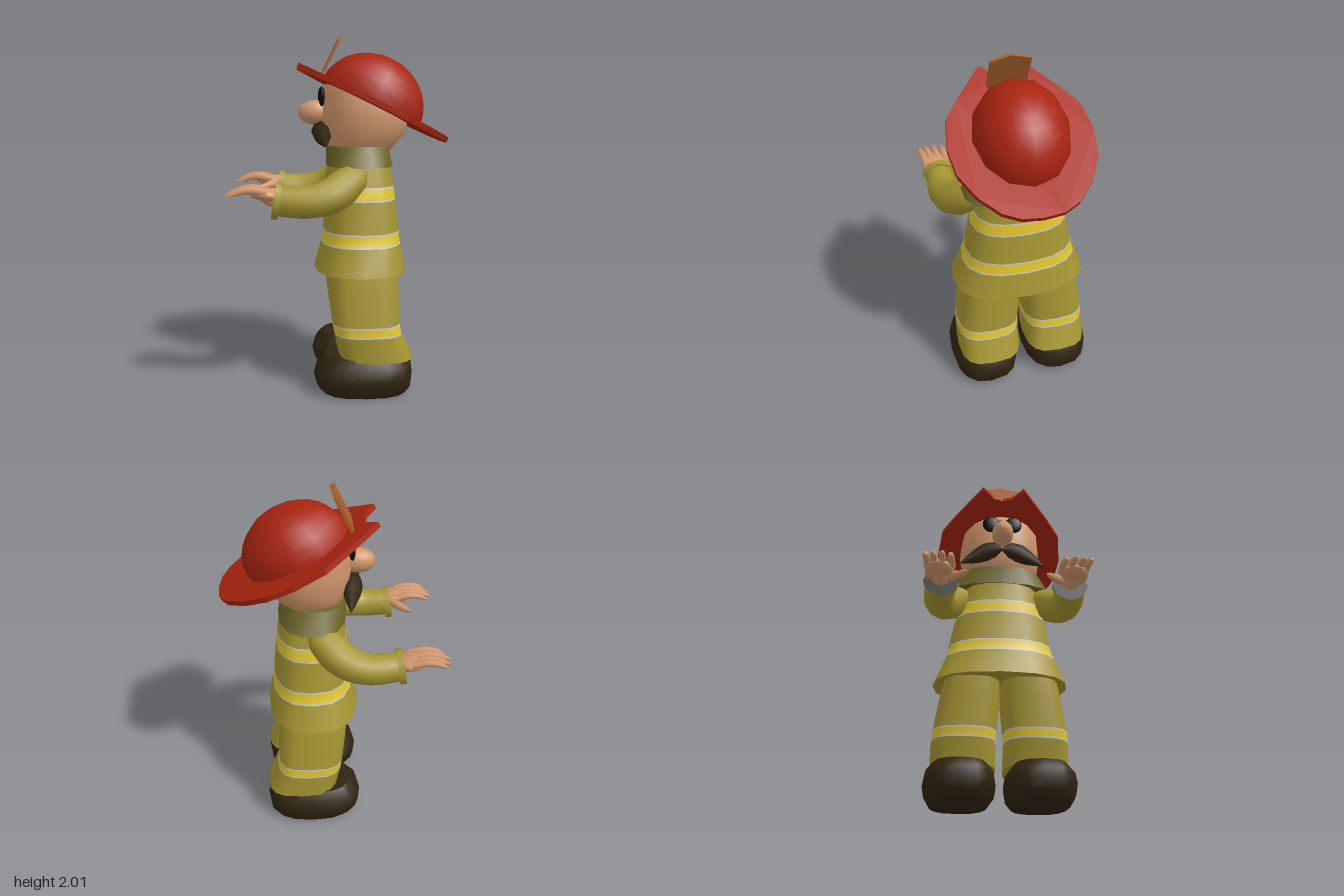
import * as THREE from 'three';

const mat = (name, color) => {
  const m = new THREE.MeshStandardMaterial({ color });
  m.name = name;
  return m;
};

export function createModel() {
  const coat = mat('olive cloth', 0xa59532);
  const collarCloth = mat('dark olive cloth', 0x6e6628);
  const yellow = mat('reflective yellow', 0xe2c42a);
  const silver = mat('reflective silver', 0xc8c8c0);
  const skin = mat('skin', 0xd0966c);
  const red = mat('helmet red', 0xa82410);
  const leather = mat('dark brown', 0x2f2411);
  const bronze = mat('badge bronze', 0xa5602c);
  const black = mat('black', 0x0c0c0c);

  const root = new THREE.Group();
  const add = (name, geo, material, parent = root) => {
    const m = new THREE.Mesh(geo, material);
    m.name = name;
    parent.add(m);
    return m;
  };

  // Stacked rounded-box rings. keys: [y, xMin, xMax, zMin, zMax];
  // stripes: [yLow, yHigh] become yellow bands with silver edges (groups 1 and 2).
  const loft = (keys, { sides = 16, power = 2.5, stripes = [] } = {}) => {
    const edge = 0.011;
    const ys = keys.map(k => k[0]);
    stripes.forEach(([a, b]) => ys.push(a, a + edge, b - edge, b));
    ys.sort((a, b) => a - b);
    const section = y => {
      let i = 0;
      while (i < keys.length - 2 && y > keys[i + 1][0]) i++;
      const t = (y - keys[i][0]) / (keys[i + 1][0] - keys[i][0]);
      return keys[i].map((v, k) => THREE.MathUtils.lerp(v, keys[i + 1][k], t));
    };
    const pos = [], idx = [];
    const ring = y => {
      const [, x0, x1, z0, z1] = section(y);
      for (let i = 0; i < sides; i++) {
        const a = i / sides * Math.PI * 2;
        const f = v => Math.sign(v) * Math.abs(v) ** (2 / power);
        pos.push((x0 + x1) / 2 + (x1 - x0) / 2 * f(Math.cos(a)), y,
          (z0 + z1) / 2 + Math.abs(z1 - z0) / 2 * f(Math.sin(a)));
      }
    };
    ys.forEach(ring);
    const geo = new THREE.BufferGeometry();
    for (let j = 0; j < ys.length - 1; j++) {
      const start = idx.length, mid = (ys[j] + ys[j + 1]) / 2;
      for (let i = 0; i < sides; i++) {
        const a = j * sides + i, b = j * sides + (i + 1) % sides;
        idx.push(a, a + sides, b, b, a + sides, b + sides);
      }
      const s = stripes.find(([a, b]) => mid > a && mid < b);
      const group = !s ? 0 : (mid < s[0] + edge || mid > s[1] - edge) ? 2 : 1;
      geo.addGroup(start, idx.length - start, group);
    }
    // End caps with their own vertices, so the rims stay sharp
    const capStart = idx.length;
    [ys[0], ys[ys.length - 1]].forEach((y, top) => {
      const base = pos.length / 3, [, x0, x1, z0, z1] = section(y);
      ring(y);
      pos.push((x0 + x1) / 2, y, (z0 + z1) / 2);
      for (let i = 0; i < sides; i++) {
        const a = base + i, b = base + (i + 1) % sides;
        idx.push(base + sides, top ? b : a, top ? a : b);
      }
    });
    geo.addGroup(capStart, idx.length - capStart, 0);
    geo.setAttribute('position', new THREE.Float32BufferAttribute(pos, 3));
    geo.setIndex(idx);
    geo.computeVertexNormals();
    return geo;
  };

  // Tube along points whose radius follows a list of radii
  const limb = (points, radii, sides = 8, segs = 12) => {
    const curve = new THREE.CatmullRomCurve3(points.map(p => new THREE.Vector3(...p)));
    const geo = new THREE.TubeGeometry(curve, segs, 1, sides);
    const p = geo.attributes.position, v = new THREE.Vector3();
    for (let i = 0; i < p.count; i++) {
      const t = Math.floor(i / (sides + 1)) / segs;
      const f = t * (radii.length - 1), k = Math.min(Math.floor(f), radii.length - 2);
      const c = curve.getPointAt(t);
      v.fromBufferAttribute(p, i).sub(c).multiplyScalar(THREE.MathUtils.lerp(radii[k], radii[k + 1], f - k)).add(c);
      p.setXYZ(i, v.x, v.y, v.z);
    }
    return geo;
  };
  const ball = (name, material, [x, y, z], [sx, sy, sz], parent = root) => {
    const m = add(name, new THREE.SphereGeometry(1, 14, 10), material, parent);
    m.position.set(x, y, z);
    m.scale.set(sx, sy, sz);
    return m;
  };
  const cloth = [coat, yellow, silver];

  // Coat and collar
  add('coat', loft([
    [0.68, -0.145, 0.385, -0.39, 0.39], [0.87, -0.095, 0.35, -0.315, 0.315],
    [1.1, -0.08, 0.325, -0.27, 0.27], [1.3, -0.07, 0.3, -0.215, 0.215],
  ], { stripes: [[0.83, 0.905], [1.08, 1.16]] }), cloth);
  add('collar', loft([
    [1.272, -0.075, 0.31, -0.31, 0.31], [1.385, -0.075, 0.285, -0.24, 0.24],
  ], { sides: 14 }), collarCloth);

  // Head, nose and dark glasses
  add('head', loft([
    [1.33, -0.03, 0.27, -0.16, 0.16], [1.37, -0.06, 0.31, -0.2, 0.2],
    [1.45, -0.095, 0.38, -0.235, 0.235], [1.55, -0.105, 0.41, -0.25, 0.25],
    [1.68, -0.095, 0.37, -0.24, 0.24], [1.75, -0.07, 0.3, -0.2, 0.2],
  ], { power: 2.2 }), skin);
  ball('nose', skin, [-0.135, 1.57, 0], [0.1, 0.07, 0.065]);
  add('glassesBridge', new THREE.BoxGeometry(0.012, 0.015, 0.06), black).position.set(-0.105, 1.675, 0);

  // Helmet, tilted towards the back
  const helmet = new THREE.Group();
  helmet.name = 'helmet';
  helmet.position.set(0.193, 1.62, 0);
  helmet.rotation.z = -0.456;
  root.add(helmet);
  const half = [[-0.476, 0.122], [-0.27, 0.285], [-0.155, 0.365], [0.02, 0.39], [0.175, 0.37],
    [0.31, 0.3], [0.42, 0.2], [0.465, 0.11], [0.476, 0]];
  const outline = [[-0.4, 0], [-0.415, 0.06], ...half,
    ...half.slice(0, -1).reverse().map(([u, w]) => [u, -w]), [-0.415, -0.06]];
  const brim = new THREE.ExtrudeGeometry(new THREE.Shape(outline.map(p => new THREE.Vector2(...p))),
    { depth: 0.03, bevelEnabled: false });
  brim.rotateX(-Math.PI / 2).translate(0, -0.015, 0);
  add('helmetBrim', brim, red, helmet);
  const dome = add('helmetDome', new THREE.SphereGeometry(1, 12, 7, 0, Math.PI * 2, 0, Math.PI / 2), red, helmet);
  dome.scale.set(0.312, 0.277, 0.258);
  dome.position.x = -0.008;

  // Five-sided plate on the helmet front
  const plate = new THREE.Shape([[-0.11, 0], [0.11, 0], [0.11, 0.215], [0, 0.255], [-0.11, 0.215]]
    .map(p => new THREE.Vector2(...p)));
  const badge = add('helmetBadge', new THREE.ExtrudeGeometry(plate, { depth: 0.016, bevelEnabled: false })
    .rotateY(-Math.PI / 2), bronze);
  badge.position.set(-0.095, 1.77, 0);
  badge.rotation.z = -0.46;

  for (const s of [1, -1]) {
    ball('lens', black, [-0.1, 1.66, s * 0.068], [0.018, 0.055, 0.052]);

    // Drooping moustache half
    add('moustache', limb([[-0.105, 1.485, -s * 0.01], [-0.105, 1.47, s * 0.07], [-0.095, 1.43, s * 0.16],
      [-0.085, 1.385, s * 0.255]], [0, 0.048, 0.055, 0.045, 0.025, 0], 8, 10), leather);

    // Trouser leg and boot
    add('trouserLeg', loft([
      [0.2, -0.01, 0.405, s * 0.02, s * 0.39], [0.34, -0.04, 0.345, s * 0.02, s * 0.387],
      [0.4, -0.05, 0.335, s * 0.017, s * 0.382], [0.59, -0.072, 0.33, 0, s * 0.35],
      [0.72, -0.08, 0.32, 0, s * 0.32],
    ], { power: 3, stripes: [[0.34, 0.4]] }), cloth);
    add('boot', loft([
      [0, -0.1, 0.37, s * 0.06, s * 0.39], [0.04, -0.14, 0.4, s * 0.03, s * 0.415],
      [0.1, -0.155, 0.408, s * 0.02, s * 0.425], [0.16, -0.14, 0.4, s * 0.03, s * 0.415],
      [0.213, -0.09, 0.36, s * 0.07, s * 0.375],
    ], { power: 2.6 }), leather);

    // Sleeve with a faceted cuff
    add('sleeve', limb([[0.12, 1.24, s * 0.17], [0.05, 1.2, s * 0.26], [-0.06, 1.13, s * 0.34],
      [-0.18, 1.1, s * 0.365], [-0.345, 1.105, s * 0.355]], [0.04, 0.085, 0.1, 0.095, 0.088, 0.085, 0.08], 12, 18), coat);
    const cuff = add('cuff', new THREE.CylinderGeometry(0.1, 0.098, 0.035, 8).toNonIndexed(), coat);
    const cuffGeo = new THREE.CylinderGeometry(0.1, 0.098, 0.035, 8);
    cuff.geometry = cuffGeo;
    cuff.material = [coat, black, coat];
    cuff.position.set(-0.35, 1.105, s * 0.353);
    cuff.rotation.z = 1.41;

    // Hand: wrist, palm, four fingers and a thumb
    const hand = new THREE.Group();
    hand.name = 'hand';
    root.add(hand);
    add('wrist', limb([[-0.33, 1.115, s * 0.355], [-0.38, 1.13, s * 0.36], [-0.43, 1.15, s * 0.365]],
      [0.05, 0.05, 0.035]), skin, hand);
    ball('palm', skin, [-0.41, 1.145, s * 0.367], [0.095, 0.036, 0.08], hand).rotation.z = -0.15;
    [[0.3, 0.305, -0.6], [0.345, 0.35, -0.632], [0.388, 0.397, -0.618], [0.425, 0.437, -0.6]].forEach(([z0, z1, x]) =>
      add('finger', limb([[-0.4, 1.155, s * z0], [-0.48, 1.172, s * (z0 + z1) / 2], [-0.55, 1.163, s * z1], [x, 1.135, s * z1]],
        [0.02, 0.022, 0.021, 0.019, 0.016, 0], 7, 10), skin, hand));
    add('thumb', limb([[-0.37, 1.135, s * 0.32], [-0.43, 1.12, s * 0.255], [-0.492, 1.11, s * 0.205]],
      [0.03, 0.028, 0.022, 0.017, 0], 7, 8), skin, hand);
  }
  return root;
}
